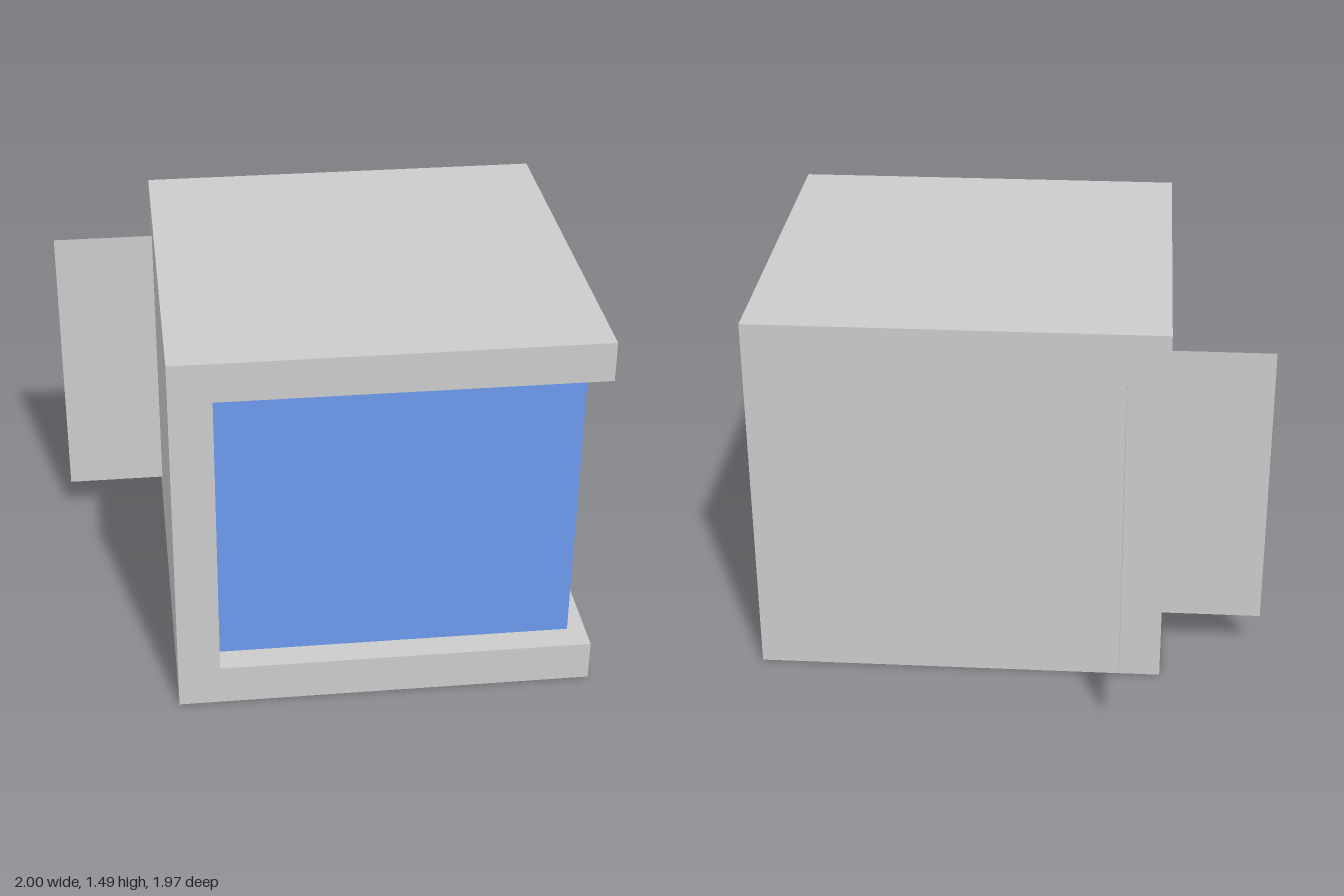
import * as THREE from 'three';

export function createModel() {
  const group = new THREE.Group();
  const grey = new THREE.MeshStandardMaterial({ color: 0xcccccc, flatShading: true });
  const greyThin = new THREE.MeshStandardMaterial({ color: 0xcccccc, side: THREE.DoubleSide });
  const blue = new THREE.MeshStandardMaterial({ color: 0x6c9aed, side: THREE.DoubleSide });

  // Outer limits of the body and of its wrap-around corner opening
  const x0 = -0.6, x1 = 1, z0 = -0.61, z1 = 0.985, top = 1.49;
  const jambX = -0.44, jambZ = -0.45, sill = 0.16, lintel = 1.335;
  const glassX = 0.93, glassZ = 0.88;

  const add = (name, geometry, material) => {
    const mesh = new THREE.Mesh(geometry, material);
    mesh.name = name;
    group.add(mesh);
    return mesh;
  };

  // Floor and roof slabs
  const slab = (name, y0, y1) =>
    add(name, new THREE.BoxGeometry(x1 - x0, y1 - y0, z1 - z0), grey)
      .position.set((x0 + x1) / 2, (y0 + y1) / 2, (z0 + z1) / 2);
  slab('floorSlab', 0, sill);
  slab('roofSlab', lintel, top);

  // L-shaped back and side walls, drawn in plan (shape y = -z) and raised
  const plan = new THREE.Shape([
    [x0, z1], [jambX, z1], [jambX, jambZ], [x1, jambZ], [x1, z0], [x0, z0],
  ].map(([x, z]) => new THREE.Vector2(x, -z)));
  const walls = new THREE.ExtrudeGeometry(plan, { depth: lintel - sill, bevelEnabled: false });
  walls.rotateX(-Math.PI / 2).translate(0, sill, 0);
  add('walls', walls, grey);

  // Thin upright panels: across x at a fixed z, or across z at a fixed x
  const panelX = (name, a, b, z, y0, y1, material) =>
    add(name, new THREE.PlaneGeometry(b - a, y1 - y0), material)
      .position.set((a + b) / 2, (y0 + y1) / 2, z);
  const panelZ = (name, a, b, x, y0, y1, material) => {
    const mesh = add(name, new THREE.PlaneGeometry(b - a, y1 - y0), material);
    mesh.rotation.y = Math.PI / 2;
    mesh.position.set(x, (y0 + y1) / 2, (a + b) / 2);
  };

  // Corner glazing, set back from the frame
  panelX('frontGlass', jambX, glassX, glassZ, sill, lintel, blue);
  panelZ('sideGlass', jambZ, glassZ, glassX, sill, lintel, blue);

  // Fins standing out of the two closed walls
  panelX('sideFin', -1, x0, -0.4, 0.16, 1.333, greyThin);
  panelZ('backFin', -0.985, z0, jambX, 0.165, 1.325, greyThin);

  return group;
}
